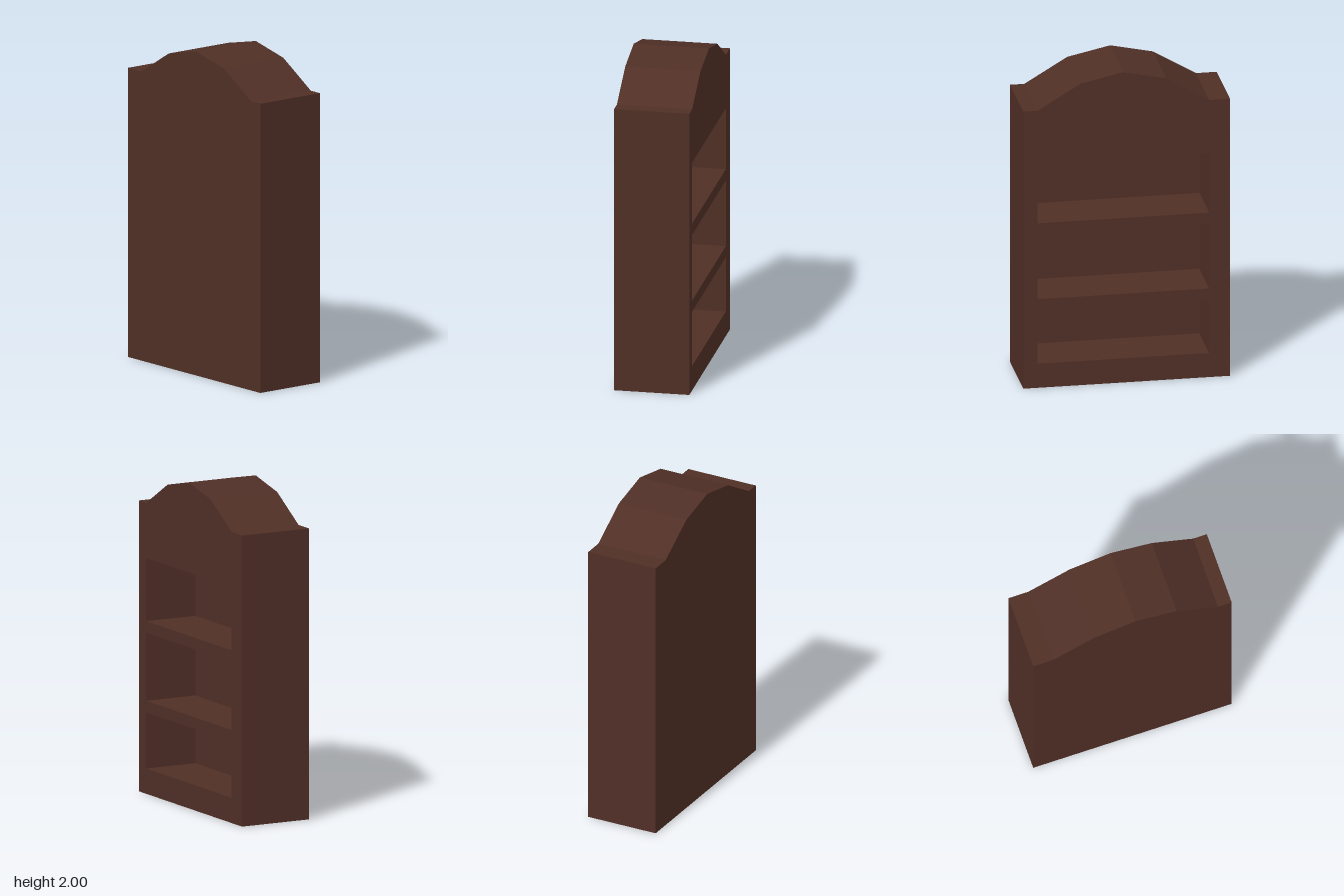
import * as THREE from 'three';

const HALF_WIDTH = 0.231;   // half of the size along x
const RECESS = 0.34;        // depth of the shelf openings
const WIDTH = HALF_WIDTH * 2;

// Side outline as [z, y], with a faceted arch on top
const OUTLINE = [
  [0.632, 0], [-0.632, 0], [-0.632, 1.786], [-0.505, 1.786], [-0.243, 1.943],
  [0.02, 2], [0.282, 1.943], [0.545, 1.786], [0.632, 1.786],
];

// Bottom and top heights of the three shelf openings
const OPENINGS = [[0.155, 0.5], [0.571, 0.988], [1.06, 1.447]];

// Shapes are drawn with x = -z, so a quarter turn sends the extrusion to +x
const toPoints = (pairs) => pairs.map(([z, y]) => new THREE.Vector2(-z, y));

function extrudeAlongX(shape, startX, depth) {
  const geometry = new THREE.ExtrudeGeometry(shape, { depth, bevelEnabled: false });
  geometry.rotateY(Math.PI / 2);
  geometry.translate(startX, 0, 0);
  return geometry;
}

export function createModel() {
  const model = new THREE.Group();
  model.name = 'bookcase';

  const darkWood = new THREE.MeshStandardMaterial({ color: 0x4f2f26 });
  darkWood.name = 'darkWood';

  // Solid back panel
  const backPanel = new THREE.Mesh(
    extrudeAlongX(new THREE.Shape(toPoints(OUTLINE)), -HALF_WIDTH, WIDTH - RECESS),
    darkWood,
  );
  backPanel.name = 'backPanel';

  // Frame with the shelf openings cut through it
  const frameShape = new THREE.Shape(toPoints(OUTLINE));
  for (const [low, high] of OPENINGS) {
    frameShape.holes.push(new THREE.Path(toPoints([
      [0.545, low], [0.545, high], [-0.505, high], [-0.505, low],
    ])));
  }
  const shelfFrame = new THREE.Mesh(
    extrudeAlongX(frameShape, HALF_WIDTH - RECESS, RECESS),
    darkWood,
  );
  shelfFrame.name = 'shelfFrame';

  model.add(backPanel, shelfFrame);
  return model;
}
